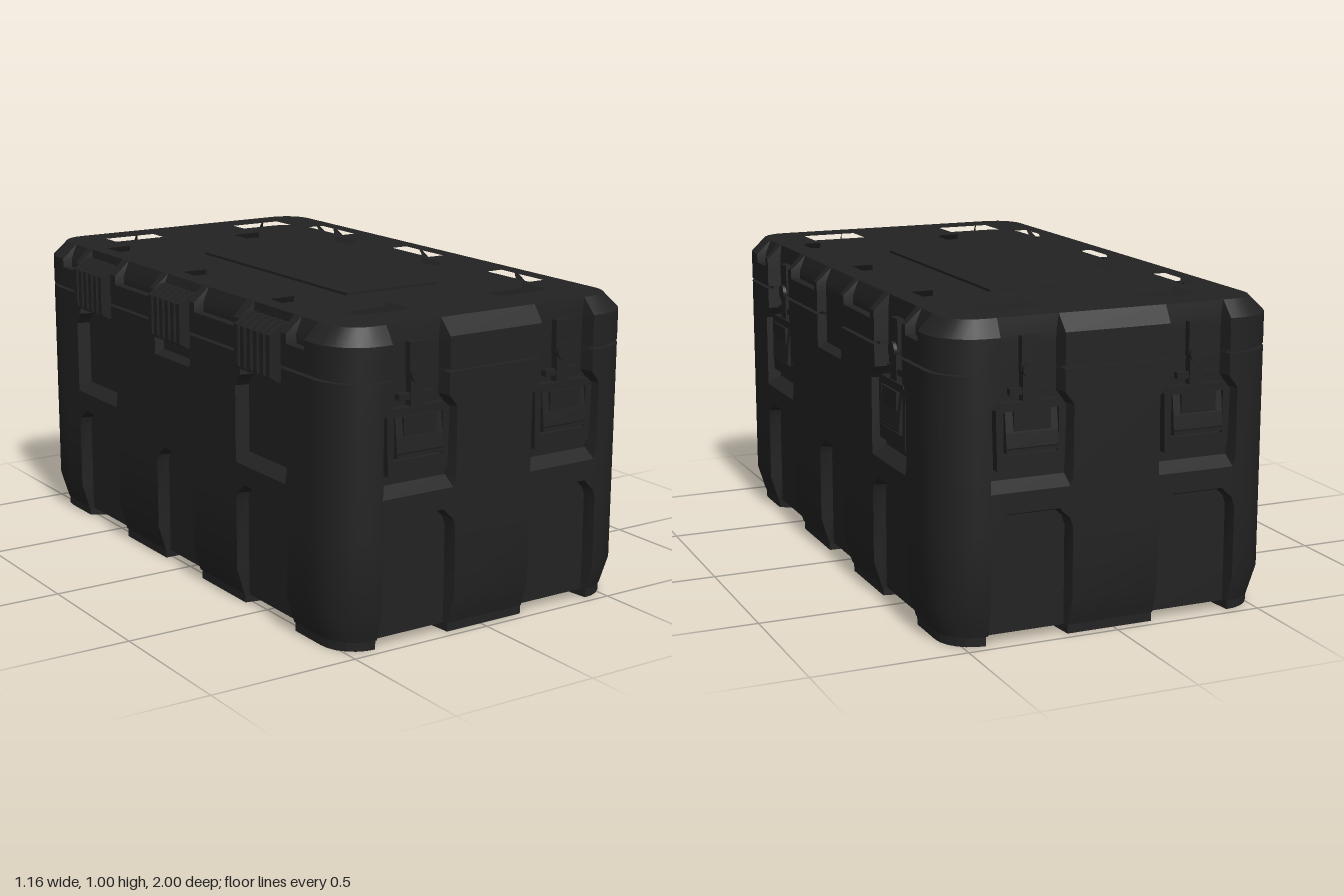
import * as THREE from 'three';
import { toCreasedNormals } from 'three/addons/utils/BufferGeometryUtils.js';

const HX = 0.5675, HZ = 1, R = 0.15, EDGE = 0.01;

// Recesses along each kind of wall: [centre, half width, kind]
const endWall = [[-0.28, 0.125, 'end'], [0.28, 0.125, 'end']];
const longWall = [
  [-0.755, 0.04, 'slot'], [-0.555, 0.14, 'end'], [-0.275, 0.115, 'slot'], [0, 0.11, 'mid'],
  [0.275, 0.115, 'slot'], [0.555, 0.14, 'end'], [0.755, 0.04, 'slot'],
];

// Level: [y, wall inset, width change, end depth, middle depth, slot depth]
const bodyLevels = [
  [0.03, 0.027, 0, 0.04, 0.04, 0], [0.12, 0, 0, 0.04, 0.04, 0],
  [0.35, 0, 0, 0.04, 0.04, 0], [0.38, 0, -0.01, 0.04, 0.04, 0],
  [0.4, 0, -0.032, 0.04, 0.04, 0], [0.415, 0, -0.045, 0, 0, 0],
  [0.48, 0, 0, 0, 0, 0], [0.51, 0, 0, 0.045, 0, 0],
  [0.73, 0, 0, 0.045, 0, 0], [0.745, 0, -0.01, 0.045, 0.03, 0],
  [0.77, 0, -0.03, 0.045, 0.03, 0], [0.84, 0, -0.03, 0.045, 0.03, 0],
  [0.84, 0.02, -0.03, 0.045, 0.03, 0], [0.85, 0.02, -0.03, 0.045, 0.03, 0],
];
const lidLevels = [
  [0.85, 0.02, -0.03, 0.045, 0.03, 0], [0.85, 0, -0.03, 0.045, 0.03, 0],
  [0.92, 0, -0.03, 0.045, 0.03, 0], [0.92, 0, -0.03, 0.045, 0.03, 0.03],
  [0.95, 0, -0.03, 0.045, 0.03, 0.03], [1, 0.05, -0.03, 0.045, 0.03, 0.03],
];

// Plan outline of the case at one level, as [x, z] points
function outline([y, inset, dw, end, mid, slot]) {
  const depth = { end, mid, slot }, pts = [];
  let n = [0, 1], t = [1, 0];
  for (let side = 0; side < 4; side++) {
    const long = side % 2 === 1, h = long ? HX : HZ, w = long ? HZ : HX;
    const add = (out, along) => pts.push([n[0] * out + t[0] * along, n[1] * out + t[1] * along]);
    for (const [c, half, kind] of long ? longWall : endWall) {
      const hw = half + (kind === 'end' || (kind === 'mid' && y < 0.5) ? dw : 0);
      const deep = h - Math.max(inset, depth[kind]);
      add(h - inset, c - hw - EDGE);
      add(deep, c - hw);
      add(deep, c + hw);
      add(h - inset, c + hw + EDGE);
    }
    for (let k = 0; k <= 6; k++) {
      const a = (k / 6) * Math.PI / 2;
      add(h - R + Math.cos(a) * (R - inset), w - R + Math.sin(a) * (R - inset));
    }
    [n, t] = [t, [-n[0], -n[1]]];
  }
  return pts;
}

// Skin through the outlines of all levels
function loft(levels) {
  const pos = [], idx = [];
  const rings = levels.map(outline), n = rings[0].length;
  rings.forEach((ring, j) => ring.forEach(([x, z]) => pos.push(x, levels[j][0], z)));
  for (let j = 0; j < rings.length - 1; j++) {
    for (let i = 0; i < n; i++) {
      const a = j * n + i, b = j * n + (i + 1) % n;
      idx.push(a, b, b + n, a, b + n, a + n);
    }
  }
  const g = new THREE.BufferGeometry();
  g.setAttribute('position', new THREE.Float32BufferAttribute(pos, 3));
  g.setIndex(idx);
  return toCreasedNormals(g, 0.4);
}

const toShape = (pts) => new THREE.Shape(pts.map(([x, y]) => new THREE.Vector2(x, y)));

// Horizontal slab hanging down from yTop, from [x, z] points
function slab(pts, yTop, depth, hole) {
  const shape = toShape(pts);
  if (hole) shape.holes.push(toShape(hole));
  return new THREE.ExtrudeGeometry(shape, { depth, bevelEnabled: false })
    .rotateX(Math.PI / 2).translate(0, yTop, 0);
}

// Mirror a quarter path (from the z axis round to the x axis) into a closed outline
function fourfold(q) {
  const flip = (sx, sz) => q.map(([x, z]) => [x * sx, z * sz]);
  return [...q, ...flip(1, -1).reverse(), ...flip(-1, -1), ...flip(-1, 1).reverse()];
}

export function createModel() {
  const black = new THREE.MeshStandardMaterial({ color: 0x222222 });
  black.name = 'black plastic';
  const root = new THREE.Group();
  root.name = 'storageCase';
  const model = new THREE.Group();
  model.name = 'case';
  model.position.x = 0.0125;
  root.add(model);
  const add = (name, geometry, parent = model) => {
    const mesh = new THREE.Mesh(geometry, black);
    mesh.name = name;
    parent.add(mesh);
    return mesh;
  };

  // Shells
  add('body', loft(bodyLevels));
  add('bodyFloor', new THREE.ShapeGeometry(toShape(outline(bodyLevels[0])))
    .rotateX(Math.PI / 2).translate(0, 0.03, 0));
  add('lid', loft(lidLevels));

  // Lid top: raised rim, stepped recess, centre panel
  const main = [[0.46, 0.66], [0.46, 0.44], [0.37, 0.44], [0.37, 0.11], [0.46, 0.11]];
  const tabs = [[0.175, 0.66], [0.175, 0.845], [0.37, 0.845], [0.37, 0.66]];
  const top = outline(lidLevels[lidLevels.length - 1]);
  add('lidRim', slab(top, 1, 0.035, fourfold([...tabs, ...main])));
  add('lidRecessFloor', slab(top, 0.965, 0.005));
  add('lidField', slab(fourfold(main), 0.982, 0.017));
  add('lidCentrePanel', slab(fourfold([[0.178, 0.45]]), 0.99, 0.01));

  // Feet under the corners and between the pockets
  const ins = 0.031, corner = [];
  for (let k = 0; k <= 6; k++) {
    const a = (k / 6) * Math.PI / 2;
    corner.push([HX - R + Math.sin(a) * (R - ins), HZ - R + Math.cos(a) * (R - ins)]);
  }
  corner.push([HX - ins, 0.705], [0.46, 0.66], [0.38, 0.66]);
  const endFoot = [[-0.145, HZ - ins], [0.145, HZ - ins], [0.175, 0.66], [-0.175, 0.66]];
  const longFoot = [[HX - ins, 0.125], [HX - ins, 0.405], [0.37, 0.44], [0.37, 0.12]];
  for (const sx of [-1, 1]) {
    for (const sz of [-1, 1]) {
      const place = (pts) => pts.map(([x, z]) => [x * sx, z * sz]);
      add('cornerFoot', slab(place(corner), 0.035, 0.035));
      add('sideFoot', slab(place(longFoot), 0.035, 0.035));
      if (sx > 0) add('endFoot', slab(place(endFoot), 0.035, 0.035));
    }
  }

  // Latch, facing +z with the wall surface at z = 0
  const plate = (name, parent, w, y0, y1, z0, z1, x = 0) => add(name,
    new THREE.BoxGeometry(w, y1 - y0, z1 - z0).translate(x, (y0 + y1) / 2, (z0 + z1) / 2), parent);
  const frameShape = toShape([[-0.11, 0.545], [0.11, 0.545], [0.115, 0.73], [0.095, 0.75],
    [-0.095, 0.75], [-0.115, 0.73]]);
  frameShape.holes.push(toShape([[-0.09, 0.59], [0.09, 0.59], [0.09, 0.725], [-0.09, 0.725]]));
  const frameGeo = new THREE.ExtrudeGeometry(frameShape, { depth: 0.03, bevelEnabled: false })
    .translate(0, 0, -0.042);
  const leverGeo = new THREE.ExtrudeGeometry(
    toShape([[-0.042, 0.598], [-0.008, 0.598], [-0.002, 0.615], [-0.006, 0.66], [-0.016, 0.73], [-0.042, 0.73]]),
    { depth: 0.17, bevelEnabled: false }).rotateY(-Math.PI / 2).translate(0.085, 0, 0);
  function latch(x, z, turn) {
    const g = new THREE.Group();
    g.name = 'latch';
    g.position.set(x, 0, z);
    g.rotation.y = turn;
    add('latchFrame', frameGeo, g);
    // the lever profile runs outward along z
    const lever = add('latchLever', leverGeo, g);
    lever.name = 'latchLever';
    plate('leverRib', g, 0.17, 0.6, 0.61, -0.02, -0.001);
    plate('leverPad', g, 0.12, 0.665, 0.725, -0.03, -0.003);
    plate('hookBar', g, 0.13, 0.77, 0.79, -0.045, -0.022);
    plate('hookStem', g, 0.05, 0.72, 0.835, -0.045, -0.018);
    plate('strap', g, 0.055, 0.84, 0.945, -0.045, -0.022);
    add('pivot', new THREE.CylinderGeometry(0.027, 0.027, 0.035, 16)
      .rotateX(Math.PI / 2).translate(0, 0.845, -0.028), g);
    model.add(g);
  }
  // swing the lever profile so that its thickness lies along z
  leverGeo.scale(1, 1, 1);
  {
    const p = leverGeo.attributes.position;
    let minX = Infinity, minZ = Infinity;
    for (let i = 0; i < p.count; i++) { minX = Math.min(minX, p.getX(i)); minZ = Math.min(minZ, p.getZ(i)); }
    leverGeo.translate(-minX - 0.085, 0, -minZ - 0.042);
  }
  for (const s of [-1, 1]) {
    latch(s * 0.28, HZ, 0);
    latch(s * 0.28, -HZ, Math.PI);
    latch(HX, s * 0.555, Math.PI / 2);
  }

  // Hinges: rows of fins on the -x wall
  const fin = new THREE.ExtrudeGeometry(toShape([[-0.5, 0.8], [-0.57, 0.79], [-0.5975, 0.81],
    [-0.5975, 0.94], [-0.545, 0.972], [-0.5, 0.972]].reverse()),
    { depth: 0.022, bevelEnabled: false });
  for (const z of [-0.555, 0, 0.555]) {
    const hinge = new THREE.Group();
    hinge.name = 'hinge';
    for (let k = 0; k < 6; k++) add('hingeFin', fin, hinge).position.z = z - 0.105 + k * 0.0376;
    plate('hingeCore', hinge, 0.05, 0.81, 0.95, z - 0.1, z + 0.1, -0.54);
    model.add(hinge);
  }
  return root;
}
